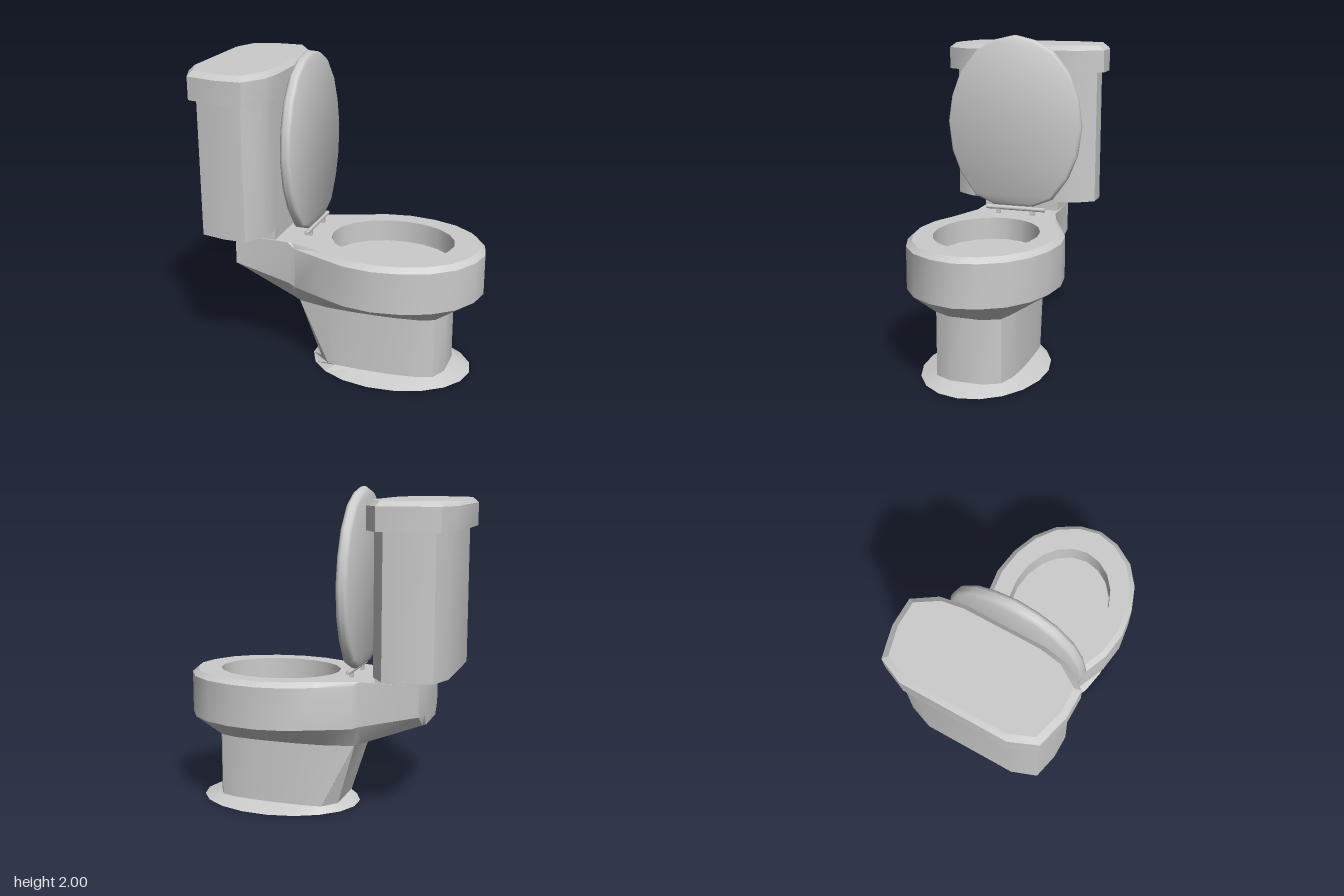
import * as THREE from 'three';
import { toCreasedNormals } from 'three/addons/utils/BufferGeometryUtils.js';

const material = new THREE.MeshStandardMaterial({ color: 0xcccccc });
const openMaterial = new THREE.MeshStandardMaterial({ color: 0xcccccc, side: THREE.DoubleSide });

// Half outline [x, z, y?] mirrored over z into a full ring of [x, y, z]
function ring(half, y) {
  const side = half.map(([x, z, h = y]) => [x, h, z]);
  const other = side.filter((p) => p[2] !== 0).reverse().map(([x, h, z]) => [x, h, -z]);
  return [...side, ...other];
}

// Skin a stack of equal-length rings, with optional caps
function loft(rings, { bottom = true, top = true, crease = 0.5 } = {}) {
  const pos = [];
  const tri = (...pts) => pts.forEach((p) => pos.push(...p));
  const n = rings[0].length;
  for (let i = 0; i < rings.length - 1; i++) {
    for (let j = 0; j < n; j++) {
      const k = (j + 1) % n;
      const a = rings[i][j], b = rings[i][k], c = rings[i + 1][k], d = rings[i + 1][j];
      tri(a, d, b);
      tri(b, d, c);
    }
  }
  const cap = (r, up) => {
    for (let lo = 0, hi = n - 1; lo + 1 < hi; lo++, hi--) {
      const t1 = [r[lo], r[lo + 1], r[hi]];
      const t2 = [r[lo + 1], r[hi - 1], r[hi]];
      tri(...(up ? t1.reverse() : t1));
      if (lo + 1 < hi - 1) tri(...(up ? t2.reverse() : t2));
    }
  };
  if (bottom) cap(rings[0], false);
  if (top) cap(rings[rings.length - 1], true);
  const geo = new THREE.BufferGeometry();
  geo.setAttribute('position', new THREE.Float32BufferAttribute(pos, 3));
  return toCreasedNormals(geo, crease);
}

// Scale a half outline about a centre on the x axis
const scaled = (half, cx, sx, sz = sx) =>
  half.map(([x, z, ...h]) => [cx + (x - cx) * sx, z * sz, ...h]);

export function createModel() {
  const model = new THREE.Group();
  const add = (name, geo, mat = material, parent = model) => {
    const mesh = new THREE.Mesh(geo, mat);
    mesh.name = name;
    parent.add(mesh);
    return mesh;
  };

  // Shared front curve of the pedestal and the bowl's underside
  const footCurve = [[0.68, 0], [0.68, 0.1], [0.63, 0.2], [0.53, 0.235], [0.4, 0.25], [0.27, 0.255], [0.12, 0.255]];

  // Pedestal with a flared foot, hollow from below
  const pedTop = [...footCurve, [-0.05, 0.245], [-0.25, 0.2], [-0.25, 0.19]];
  const pedBottom = [...footCurve, [0, 0.25], [-0.05, 0.24], [-0.13, 0.15]];
  const foot = pedBottom.map((_, i) => {
    const a = (i * 2 * Math.PI) / 19;
    return [0.3 + 0.52 * Math.cos(a), 0.385 * Math.sin(a)];
  });
  add('pedestal', loft([
    ring(scaled(pedBottom, 0.28, 0.75), 0.43),
    ring(scaled(pedBottom, 0.28, 0.75), 0.04),
    ring(scaled(pedBottom, 0.28, 0.9), 0),
    ring(foot, 0),
    ring(pedBottom, 0.04),
    ring(pedTop, 0.435),
  ], { bottom: false, top: false }));

  // Bowl body and the neck running back beneath the tank
  const bowl = new THREE.Group();
  bowl.name = 'bowl';
  model.add(bowl);
  const front = [[0.885, 0], [0.855, 0.14], [0.77, 0.28], [0.64, 0.38], [0.48, 0.44], [0.3, 0.465], [0.12, 0.44], [-0.06, 0.365], [-0.25, 0.28]];
  const neck = [[-0.3, 0.262], [-0.66, 0.25], [-0.68, 0.18]];
  const underside = [...footCurve, [-0.05, 0.245], [-0.25, 0.2], [-0.3, 0.19, 0.455], [-0.66, 0.14, 0.585], [-0.68, 0.13, 0.59]];
  const neckLow = [0.575, 0.66, 0.665];
  const sideLow = [...front, ...neck.map(([x, z], i) => [x, z, neckLow[i]])];
  const neckHigh = neck.map(([x, z]) => [x, z, 0.85]);
  const sideHigh = [...front, ...neckHigh];
  const rim = [...scaled(front.slice(0, 8), 0.3, 0.94, 0.925), [-0.28, 0.255], ...neckHigh];
  add('bowlBody', loft([
    ring(underside, 0.435), ring(sideLow, 0.56), ring(sideHigh, 0.82), ring(rim, 0.85),
  ], { top: false }), material, bowl);

  // Flat rim with an oval opening
  const rimShape = new THREE.Shape(ring(rim, 0.85).map(([x, , z]) => new THREE.Vector2(x, -z)));
  const opening = Array.from({ length: 20 }, (_, i) => {
    const a = (-i * Math.PI) / 10;
    return new THREE.Vector2(0.3 + 0.39 * Math.cos(a), 0.315 * Math.sin(a));
  });
  rimShape.holes.push(new THREE.Path(opening));
  add('bowlRim', new THREE.ShapeGeometry(rimShape).rotateX(-Math.PI / 2).translate(0, 0.85, 0), material, bowl);

  // Basin wall and floor
  add('basinWall', new THREE.CylinderGeometry(1, 1, 0.14, 20, 1, true)
    .rotateY(Math.PI / 2).scale(0.39, 1, 0.315).translate(0.3, 0.78, 0), openMaterial, bowl);
  add('basinFloor', new THREE.CircleGeometry(1, 20)
    .rotateX(-Math.PI / 2).scale(0.39, 1, 0.315).translate(0.3, 0.71, 0), material, bowl);

  // Block that carries the tank
  const block = [[-0.39, 0.25], [-0.66, 0.25], [-0.68, 0.18]];
  const blockTop = [[-0.39, 0.25], [-0.63, 0.25], [-0.65, 0.18]];
  add('tankSupport', loft([ring(block, 0.85), ring(block, 0.86), ring(blockTop, 0.912)]));

  // Tank and its bevelled cover
  const tank = [[-0.39, 0.22], [-0.41, 0.36], [-0.49, 0.475], [-0.63, 0.475], [-0.785, 0.44], [-0.84, 0.29]];
  add('tank', loft([ring(tank, 0.908), ring(tank, 1.77)]));
  const cover = [[-0.345, 0.25], [-0.37, 0.39], [-0.46, 0.525], [-0.63, 0.525], [-0.82, 0.475], [-0.885, 0.32]];
  add('tankCover', loft([
    ring(cover, 1.76), ring(cover, 1.9), ring(scaled(cover, -0.615, 0.89, 0.93), 1.93),
  ]));

  // Raised seat lid with a rounded edge, leaning slightly back
  const lid = [[0.535, 0.13], [0.48, 0.26], [0.34, 0.36], [0.19, 0.42], [0, 0.445], [-0.17, 0.42], [-0.33, 0.36], [-0.465, 0.25], [-0.53, 0.13], [-0.56, 0]];
  const lidProfile = [[-0.035, 0.95], [-0.025, 0.98], [-0.01, 1], [0.01, 1], [0.025, 0.99], [0.035, 0.965]];
  const lidGeo = loft(lidProfile.map(([y, s]) => ring(scaled(lid, 0, s), y)), { crease: 0.8 });
  const seatLid = add('seatLid', lidGeo.rotateZ(-Math.PI / 2 + 0.014));
  seatLid.position.set(-0.237, 1.44, 0);

  // Hinge rod below the lid
  add('hingeRod', new THREE.CylinderGeometry(0.014, 0.014, 0.395, 8)
    .rotateX(Math.PI / 2).translate(-0.21, 0.89, -0.017));
  // Hinge mounts joining the rod to the rim
  for (const z of [-0.13, 0.1]) {
    add('hingeMount', new THREE.BoxGeometry(0.02, 0.05, 0.03).translate(-0.21, 0.868, z));
  }

  return model;
}
